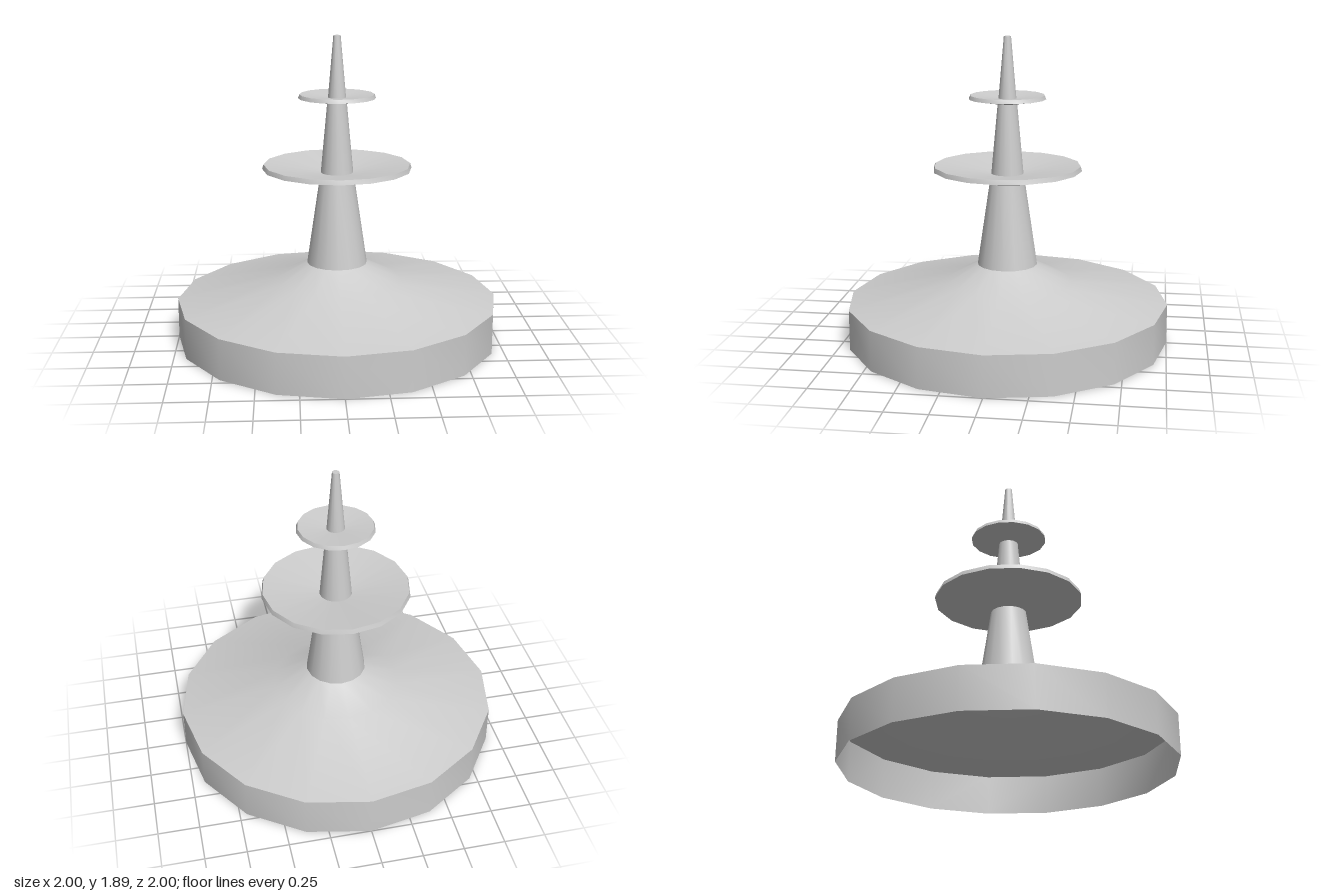
import * as THREE from 'three';
import { toCreasedNormals } from 'three/addons/utils/BufferGeometryUtils.js';

const SIDES = 16;

export function createModel() {
  const model = new THREE.Group();
  model.name = 'tieredFountain';
  const stone = new THREE.MeshStandardMaterial({ color: 0xcccccc, side: THREE.DoubleSide });
  stone.name = 'pale grey stone';

  // Turns a [radius, height] outline, listed from the bottom up, into a ring-shaped part
  function turned(name, outline) {
    const points = outline.map(([r, y]) => new THREE.Vector2(r, y));
    const geometry = toCreasedNormals(new THREE.LatheGeometry(points, SIDES), Math.PI / 6);
    const mesh = new THREE.Mesh(geometry, stone);
    mesh.name = name;
    model.add(mesh);
  }

  // Hollow base: upright wall and sloping cover, open underneath
  turned('baseWall', [[1, 0], [1, 0.25]]);
  turned('baseCover', [[1, 0.25], [0.4, 0.37], [0.187, 0.48]]);

  // Lower column and the wide, shallow dish on it
  turned('lowerColumn', [[0.187, 0.48], [0.11, 1.0]]);
  turned('lowerDish', [[0.11, 1.0], [0.46, 1.08], [0.452, 1.108], [0.1, 1.056]]);

  // Middle column and the small dish
  turned('middleColumn', [[0.1, 1.056], [0.06, 1.487]]);
  turned('upperDish', [[0.06, 1.487], [0.237, 1.517], [0.228, 1.54], [0.055, 1.52]]);

  // Tapering spire with a flat tip
  turned('spire', [[0.055, 1.52], [0.022, 1.895], [0, 1.895]]);

  return model;
}
